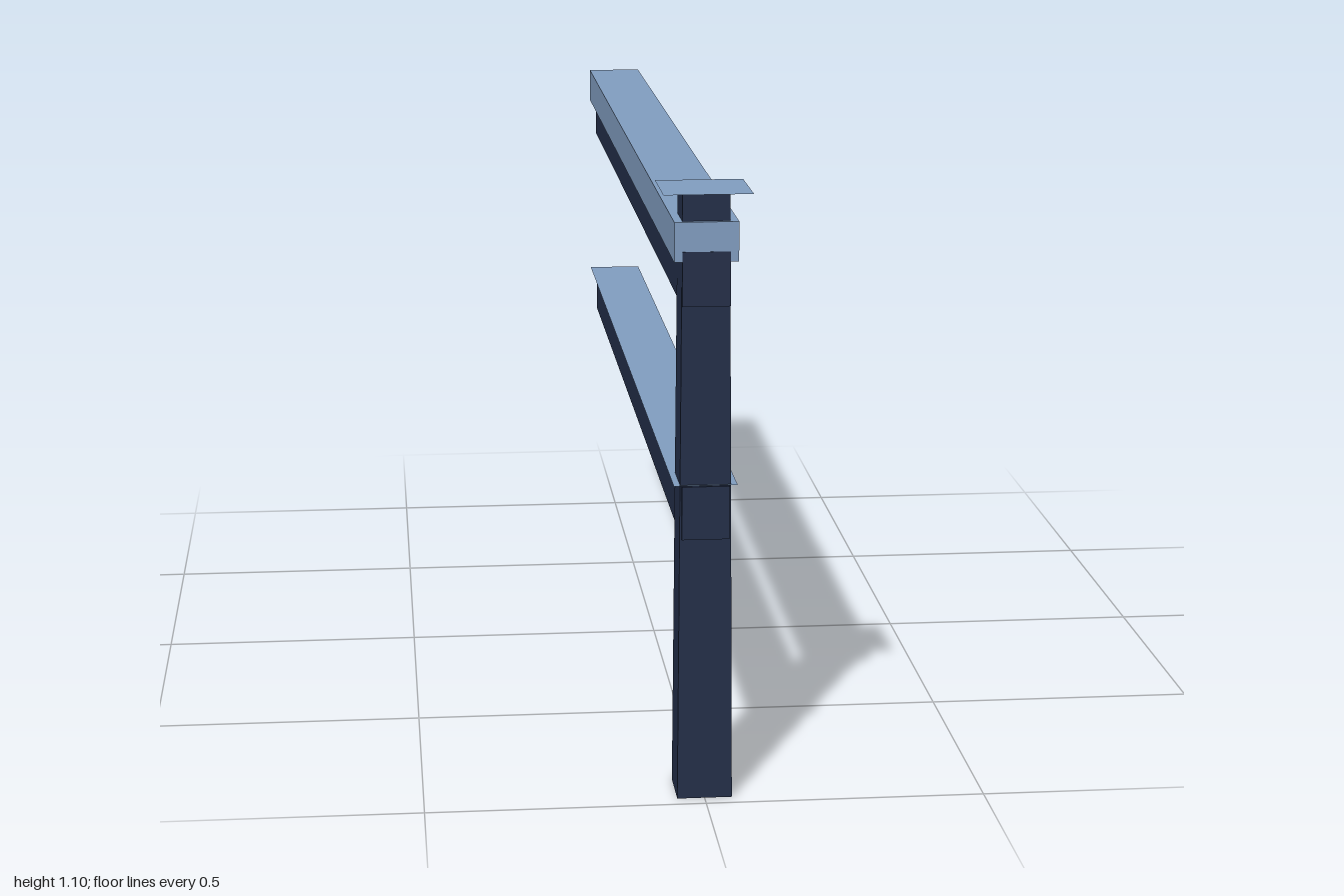
import * as THREE from 'three';

export function createModel() {
  const model = new THREE.Group();
  model.name = 'fence';
  const wood = new THREE.MeshStandardMaterial({ color: 0x232e48, side: THREE.DoubleSide });
  wood.name = 'dark wood';
  const snow = new THREE.MeshStandardMaterial({ color: 0x819dc0, side: THREE.DoubleSide });
  snow.name = 'snow blue';

  const add = (name, geometry, material, y, z) => {
    const mesh = new THREE.Mesh(geometry, material);
    mesh.name = name;
    mesh.position.set(0, y, z);
    model.add(mesh);
  };
  // Horizontal sheet of snow, facing up
  const sheet = (w, d) => new THREE.PlaneGeometry(w, d).rotateX(-Math.PI / 2);

  const postZ = 0.923, postH = 1.097;
  const railL = 1.973, railZ = -0.0135;

  // Tapered square post, open at both ends
  const post = new THREE.CylinderGeometry(0.041 * Math.SQRT2, 0.049 * Math.SQRT2, postH, 4, 1, true)
    .rotateY(Math.PI / 4)
    .toNonIndexed();
  post.computeVertexNormals();
  add('post', post, wood, postH / 2, postZ);
  add('postSnowCap', sheet(0.155, 0.155), snow, postH, postZ);

  // Rails; the ends stand just proud of the snow
  for (const [name, bottom, top] of [['lowerRail', 0.48, 0.576], ['upperRail', 0.897, 0.993]]) {
    add(name, new THREE.BoxGeometry(0.084, top - bottom, railL + 0.001), wood, (bottom + top) / 2, railZ);
  }

  // Snow on the rails: a thin sheet below, a thick bar above
  add('lowerRailSnow', sheet(0.112, railL), snow, 0.578, railZ);
  add('upperRailSnow', new THREE.BoxGeometry(0.112, 0.07, railL), snow, 1.01, railZ);

  return model;
}
